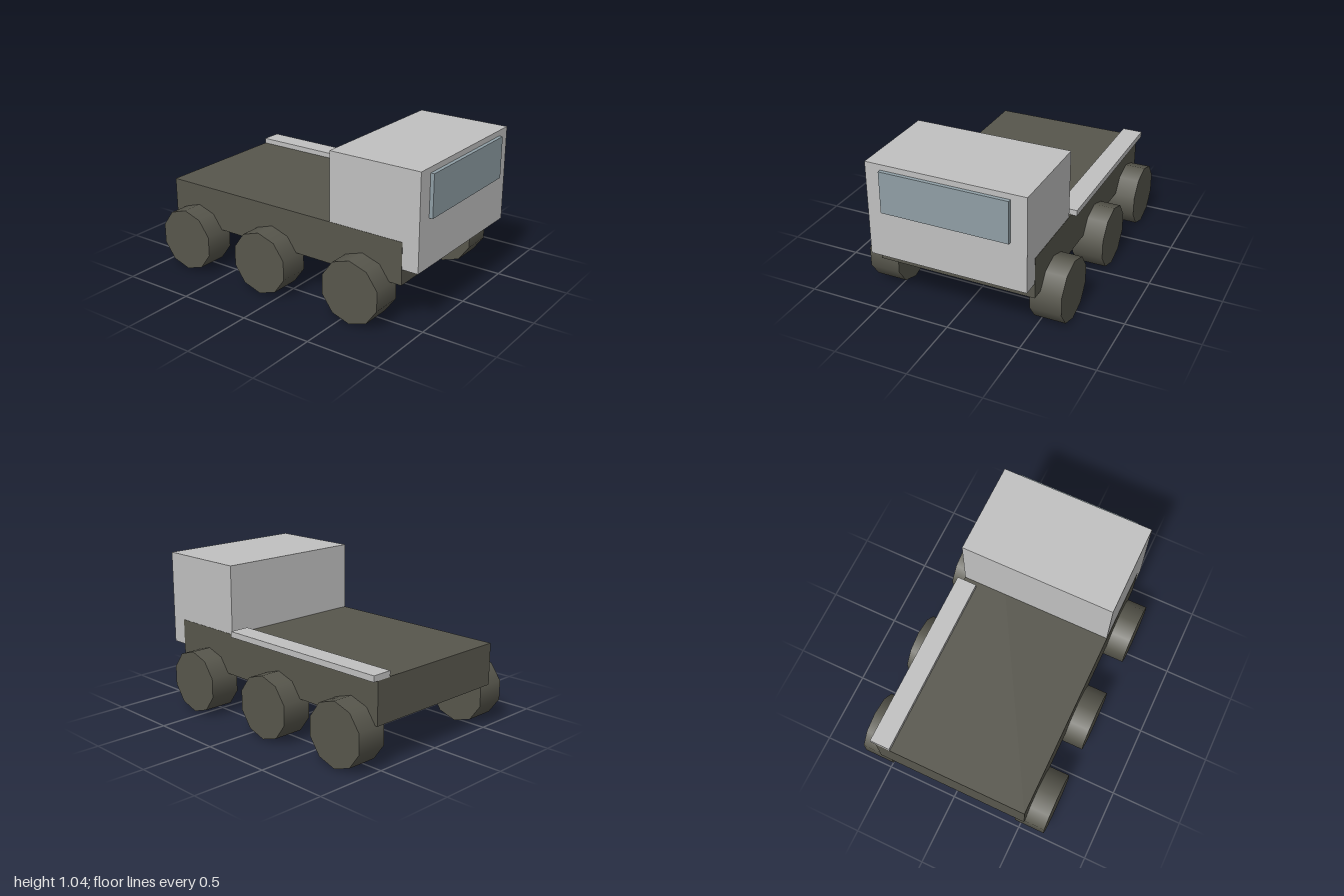
import * as THREE from 'three';

export function createModel() {
  const model = new THREE.Group();
  model.name = 'flatbedTruck';

  const material = (name, color) => {
    const m = new THREE.MeshStandardMaterial({ color });
    m.name = name;
    return m;
  };
  const darkOlive = material('darkOlive', 0x57564c);
  const lightGrey = material('lightGrey', 0xc0c0c0);
  const glassBlue = material('glassBlue', 0x8f9ea5);

  // Box given by its lower and upper limits on each axis
  const box = (name, mat, [x0, x1], [y0, y1], [z0, z1]) => {
    const mesh = new THREE.Mesh(new THREE.BoxGeometry(x1 - x0, y1 - y0, z1 - z0), mat);
    mesh.position.set((x0 + x1) / 2, (y0 + y1) / 2, (z0 + z1) / 2);
    mesh.name = name;
    model.add(mesh);
  };

  // Flat bed chassis, a hair wider than the cab so its sides stay visible
  box('chassis', darkOlive, [-1, 0.862], [0.29, 0.575], [-0.538, 0.538]);
  box('cab', lightGrey, [0.326, 0.975], [0.396, 1.042], [-0.536, 0.536]);
  box('windshield', glassBlue, [0.974, 1], [0.722, 1.005], [-0.43, 0.43]);
  // Single rail along the far edge of the bed
  box('sideRail', lightGrey, [-1, 0.29], [0.571, 0.611], [-0.575, -0.435]);

  // Six ten-sided wheels, standing on a corner
  const radius = 0.215;
  const wheelGeometry = new THREE.CylinderGeometry(radius, radius, 0.213, 10).rotateX(Math.PI / 2);
  for (const x of [-0.785, -0.14, 0.577]) {
    for (const side of [-1, 1]) {
      const wheel = new THREE.Mesh(wheelGeometry, darkOlive);
      wheel.position.set(x, radius, side * 0.574);
      wheel.name = 'wheel';
      model.add(wheel);
    }
  }
  return model;
}
